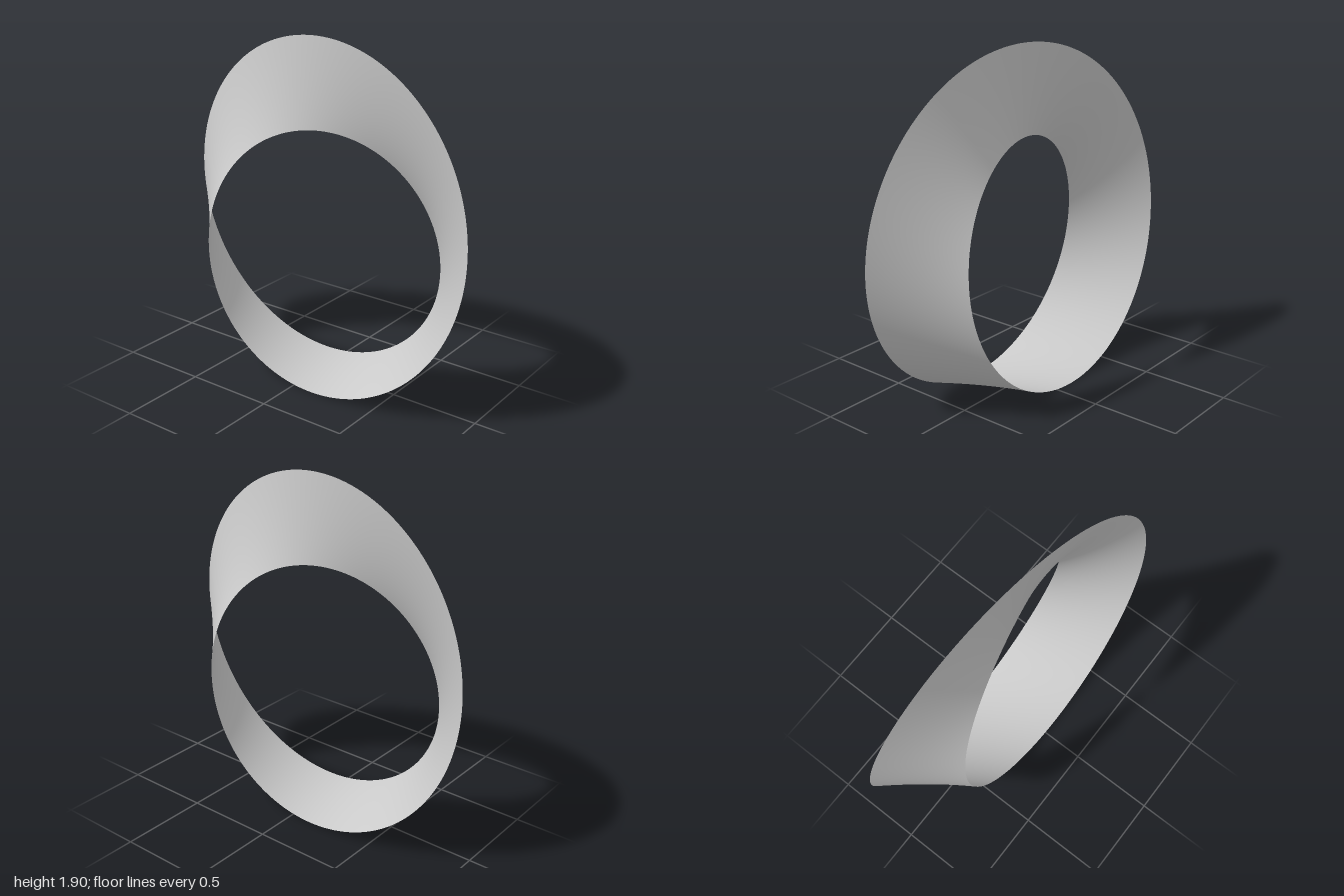
import * as THREE from 'three';
import { ParametricGeometry } from 'three/addons/geometries/ParametricGeometry.js';

const RADIUS = 0.819;      // centre line of the loop
const HALF_WIDTH = 0.25;   // half the band width
const CENTRE_Y = 0.828;    // lifts the lowest edge to y = 0

// Band around the x axis: radial at the top, lying flat at the bottom, one half twist per turn
function twistedBand(u, v, target) {
  const angle = u * Math.PI * 2;
  const across = (v * 2 - 1) * HALF_WIDTH;
  const r = RADIUS + across * Math.cos(angle / 2);
  target.set(
    -across * Math.sin(angle / 2),
    CENTRE_Y + r * Math.cos(angle),
    r * Math.sin(angle)
  );
}

export function createModel() {
  const group = new THREE.Group();
  group.name = 'twistedLoop';

  const material = new THREE.MeshStandardMaterial({ color: 0xcccccc, side: THREE.DoubleSide });
  const band = new THREE.Mesh(new ParametricGeometry(twistedBand, 256, 24), material);
  band.name = 'band';
  group.add(band);

  return group;
}
